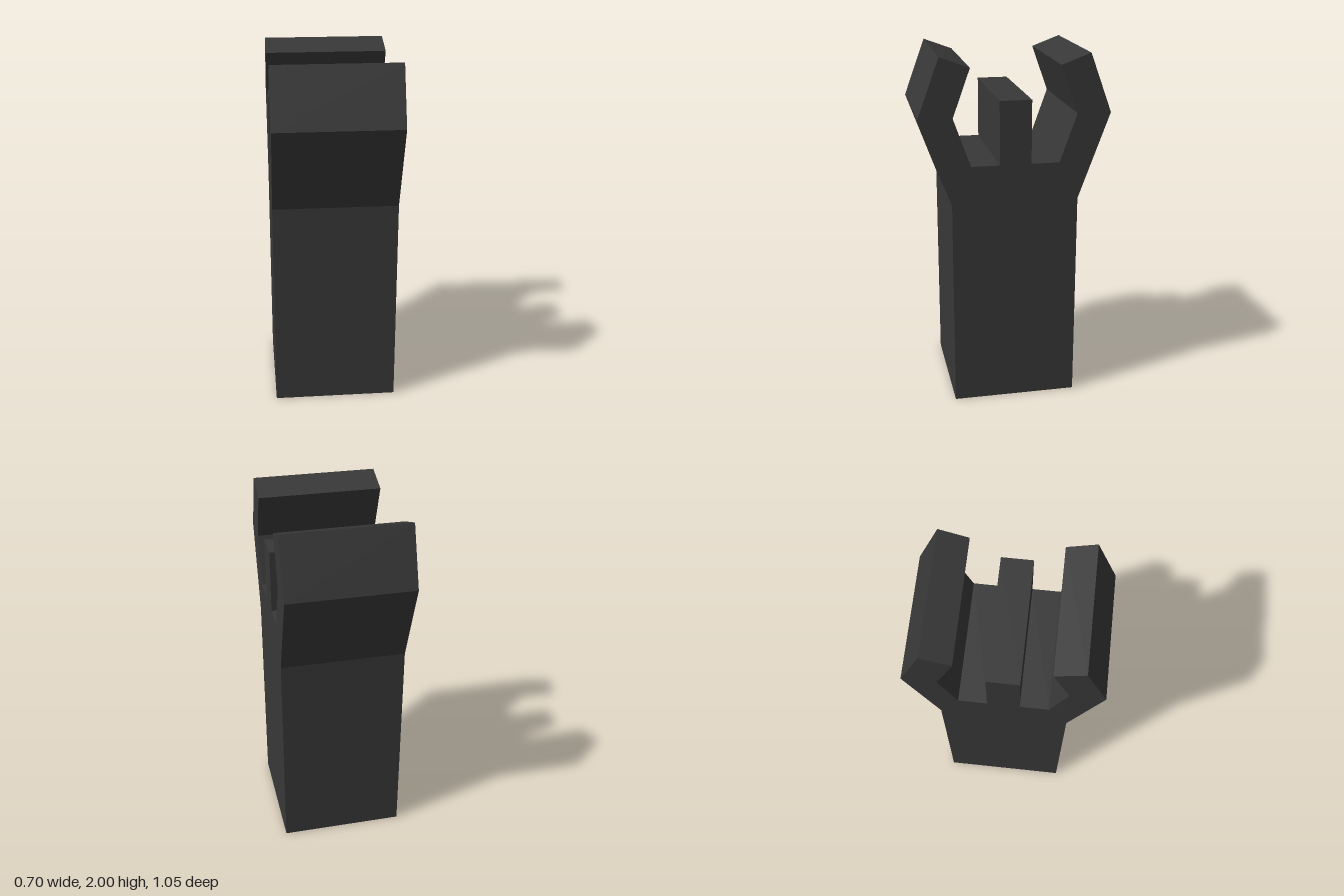
import * as THREE from 'three';

const WIDTH = 0.7;

export function createModel() {
  const group = new THREE.Group();
  group.name = 'clawPost';

  const darkGrey = new THREE.MeshStandardMaterial({ color: 0x383838 });
  darkGrey.name = 'darkGrey';

  // Half of the side profile as [z, y]: column, bent prong, notch floor, centre tab
  const half = [
    [0.352, 0], [0.352, 1.195],
    [0.527, 1.675], [0.407, 2], [0.245, 1.94], [0.34, 1.675],
    [0.245, 1.407], [0.088, 1.407],
    [0.088, 1.76],
  ];
  const mirrored = half.map(([z, y]) => [-z, y]).reverse();
  const profile = new THREE.Shape([...half, ...mirrored].map(([z, y]) => new THREE.Vector2(z, y)));

  // One solid, extruded across the width and turned so the profile lies in the z-y plane
  const geometry = new THREE.ExtrudeGeometry(profile, { depth: WIDTH, bevelEnabled: false });
  geometry.translate(0, 0, -WIDTH / 2);
  geometry.rotateY(-Math.PI / 2);

  const post = new THREE.Mesh(geometry, darkGrey);
  post.name = 'columnWithProngsAndTab';
  group.add(post);
  return group;
}
